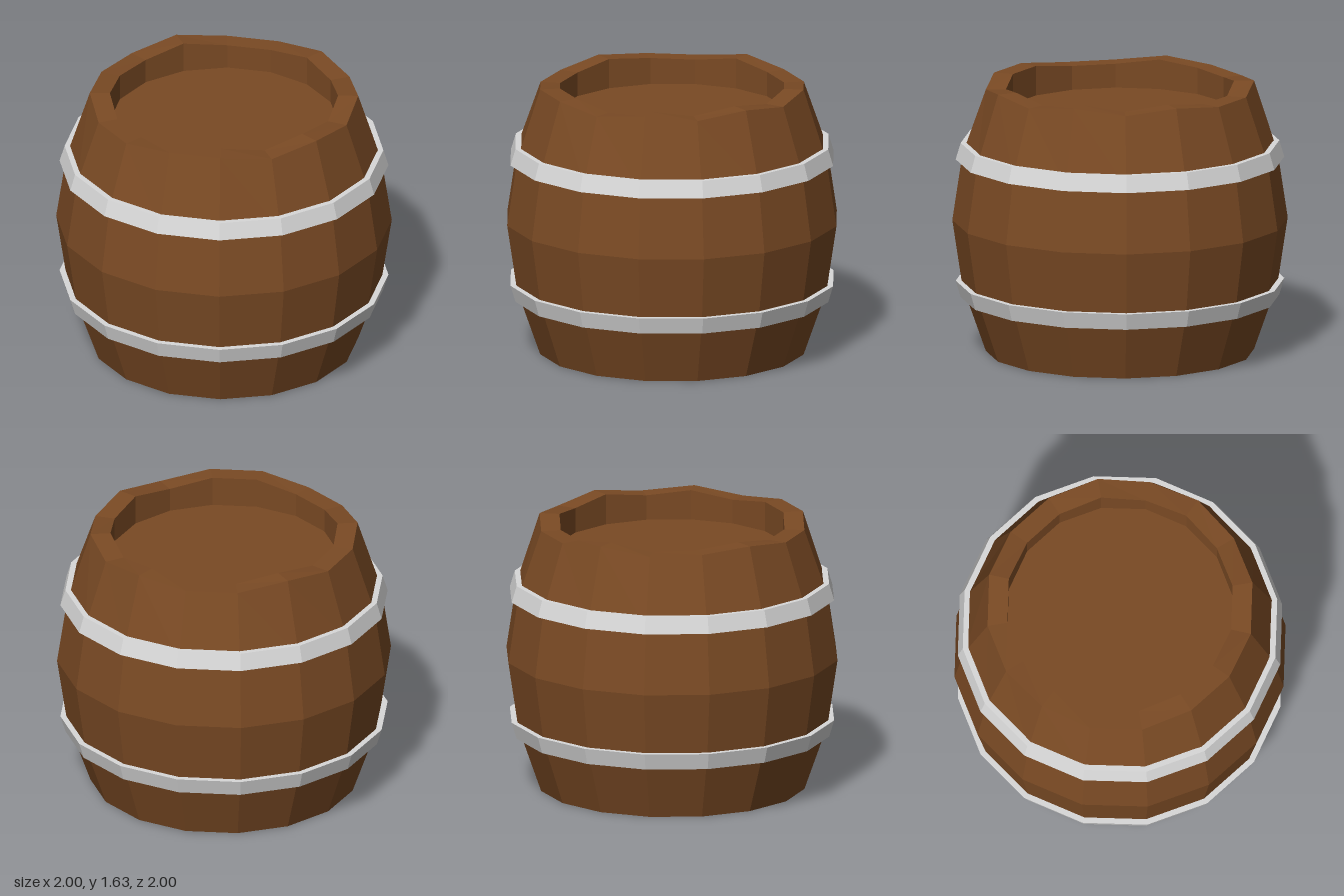
import * as THREE from 'three';

const SIDES = 16;

// Faceted solid of revolution; profile runs from bottom outwards, then up
function facetedLathe(profile, adjust) {
  const points = profile.map(([r, y]) => new THREE.Vector2(r, y));
  const geometry = new THREE.LatheGeometry(points, SIDES);
  if (adjust) adjust(geometry.attributes.position);
  const flat = geometry.toNonIndexed();
  flat.computeVertexNormals();
  return flat;
}

export function createModel() {
  const wood = new THREE.MeshStandardMaterial({ color: 0x7a4a24 });
  wood.name = 'brown wood';
  const metal = new THREE.MeshStandardMaterial({ color: 0xd8d8d8 });
  metal.name = 'pale metal';

  const group = new THREE.Group();
  group.name = 'barrel';

  // Uneven top rim: one height per side, starting at the front
  const rim = [1.63, 1.63, 1.595, 1.63, 1.6, 1.635, 1.6, 1.63,
    1.6, 1.6, 1.635, 1.6, 1.61, 1.63, 1.595, 1.595];

  // Bulging body with a recessed lid and base
  const profile = [
    [0, 0.15], [0.68, 0.15], [0.68, 0], [0.8, 0],
    [0.94, 0.4], [1, 0.8], [0.94, 1.2],
    [0.8, 1.6], [0.68, 1.6], [0.68, 1.45], [0, 1.45],
  ];
  const body = new THREE.Mesh(facetedLathe(profile, (position) => {
    for (let i = 0; i < position.count; i++) {
      if (position.getY(i) > 1.5) {
        const side = Math.floor(i / profile.length) % SIDES;
        position.setY(i, rim[side]);
      }
    }
  }), wood);
  body.name = 'body';
  group.add(body);

  // Metal hoops, flaring towards the middle of the barrel
  const hoops = {
    lowerHoop: [[0.9, 0.33], [0.95, 0.33], [0.98, 0.43], [0.92, 0.43]],
    upperHoop: [[0.92, 1.17], [0.98, 1.17], [0.95, 1.27], [0.9, 1.27]],
  };
  for (const [name, section] of Object.entries(hoops)) {
    const hoop = new THREE.Mesh(facetedLathe(section), metal);
    hoop.name = name;
    group.add(hoop);
  }

  return group;
}
